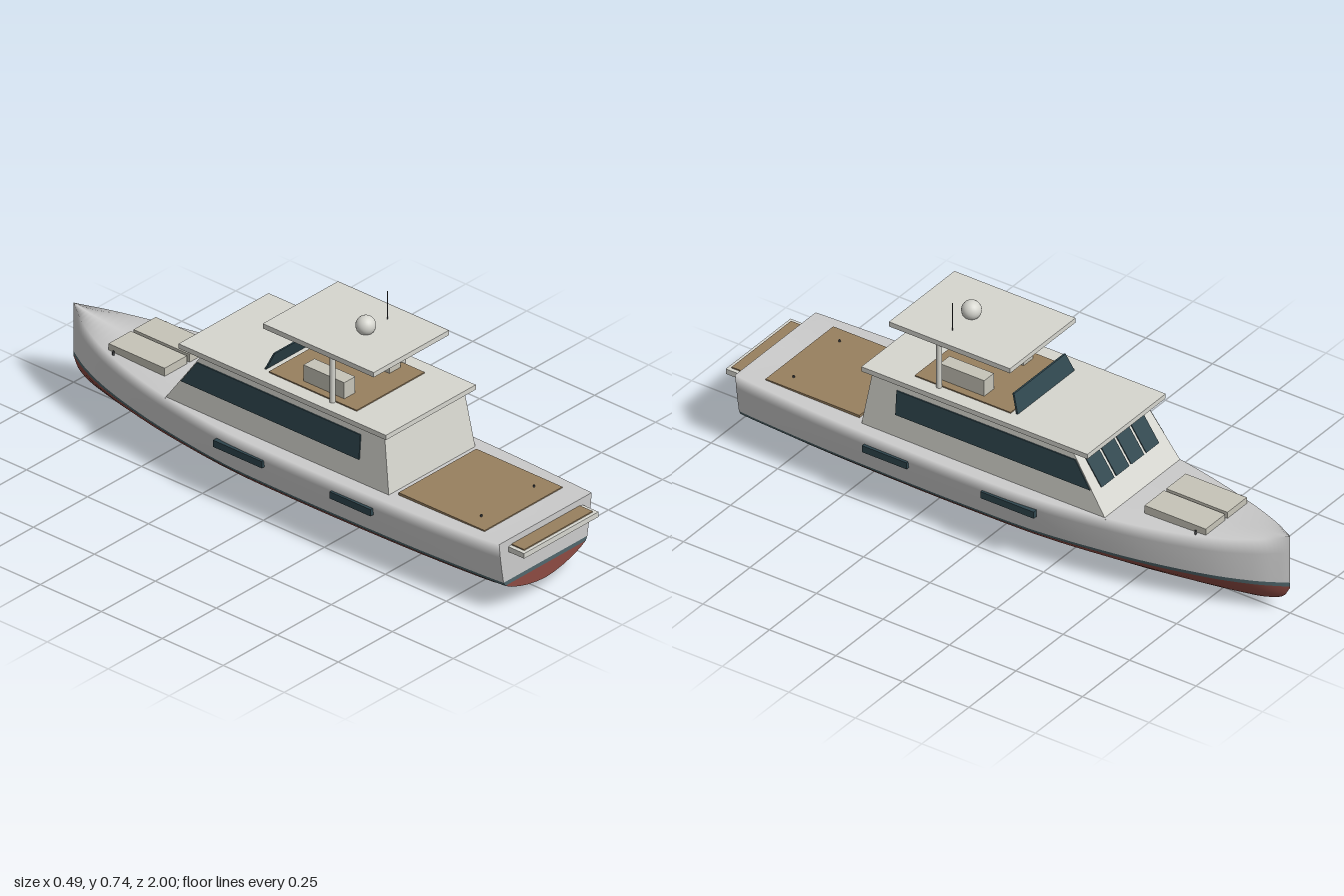
import * as THREE from 'three';

const mat = (color, extra = {}) => new THREE.MeshStandardMaterial({ color, ...extra });
const lerp = THREE.MathUtils.lerp;

// Smooth surface from a grid of points, rows[i][j] = [x, y, z]
function gridGeometry(rows) {
  const n = rows[0].length, index = [];
  for (let i = 0; i < rows.length - 1; i++) {
    for (let j = 0; j < n - 1; j++) {
      const a = i * n + j, b = a + n;
      index.push(a, b, a + 1, b, b + 1, a + 1);
    }
  }
  const g = new THREE.BufferGeometry();
  g.setAttribute('position', new THREE.Float32BufferAttribute(rows.flat(2), 3));
  g.setIndex(index);
  g.computeVertexNormals();
  return g;
}

// Box whose corners (each -1 or 1) are moved by a rule
function shapedBox(rule) {
  const g = new THREE.BoxGeometry(2, 2, 2), p = g.attributes.position;
  for (let i = 0; i < p.count; i++) p.setXYZ(i, ...rule(p.getX(i), p.getY(i), p.getZ(i)));
  g.computeVertexNormals();
  return g;
}

export function createModel() {
  const boat = new THREE.Group();
  boat.name = 'motorYacht';
  const grey = mat(0xcccccc), white = mat(0xd6d6cf), glass = mat(0x2f464e), teak = mat(0x98805f);
  const cushion = mat(0xc6c4b8), metal = mat(0x444648), bottomRed = mat(0x8c4a42), stripe = mat(0x51676c);

  const add = (name, geometry, material, x = 0, y = 0, z = 0) => {
    const m = new THREE.Mesh(geometry, material);
    m.name = name;
    m.position.set(x, y, z);
    boat.add(m);
    return m;
  };
  // Box given by its limits
  const box = (name, material, x0, x1, y0, y1, z0, z1) =>
    add(name, new THREE.BoxGeometry(x1 - x0, y1 - y0, z1 - z0), material,
      (x0 + x1) / 2, (y0 + y1) / 2, (z0 + z1) / 2);

  // Hull stations, stern to bow: z, half breadth, sheer height, keel height
  const stations = [
    [0.935, 0.214, 0.255, 0.047], [0.84, 0.222, 0.252, 0.02], [0.6, 0.236, 0.248, 0.008],
    [0.3, 0.243, 0.246, 0.001], [0.05, 0.244, 0.245, 0], [-0.2, 0.236, 0.245, 0],
    [-0.45, 0.2, 0.246, 0.002], [-0.62, 0.163, 0.248, 0.007], [-0.78, 0.115, 0.254, 0.015],
    [-0.9, 0.063, 0.265, 0.026], [-0.97, 0.021, 0.275, 0.05], [-1, 0.0005, 0.281, 0.092],
  ];
  const form = new THREE.CatmullRomCurve3(stations.map(s => new THREE.Vector3(s[1], s[2], s[0])), false, 'catmullrom');
  const keel = new THREE.CatmullRomCurve3(stations.map(s => new THREE.Vector3(0, s[3], s[0])), false, 'catmullrom');

  // Half sections of the three paint bands, from low to high
  const W = 0.097, S = 0.111;
  const bands = {
    hullBottom: (b, s, k) => [[0, 0], [0.21, 0.08], [0.4, 0.23], [0.56, 0.42], [0.74, 0.7], [0.87, 1]]
      .map(([u, v]) => [u * b, lerp(k, W, v)]),
    bootStripe: b => [[0.87 * b, W], [0.905 * b, S]],
    topsidesAndDeck: (b, s) => [[0.905, 0], [0.94, 0.3], [0.975, 0.65], [1, 1]]
      .map(([u, v]) => [u * b, lerp(S, s, v)]),
  };
  const bandMaterial = { hullBottom: bottomRed, bootStripe: stripe, topsidesAndDeck: grey };
  const steps = 55;
  for (const [name, section] of Object.entries(bands)) {
    const left = [], right = [], deckRows = [];
    for (let i = 0; i <= steps; i++) {
      const f = form.getPoint(i / steps), k = keel.getPoint(i / steps).y;
      const half = section(f.x, f.y, k);
      const port = half.map(([x, y]) => [x, y, f.z]);
      const starboard = half.map(([x, y]) => [-x, y, f.z]).reverse();
      left.push(port);
      right.push(starboard);
      deckRows.push([...port, [0, f.y, f.z], ...starboard]);
    }
    if (name === 'topsidesAndDeck') {
      // one skin over both sides and the deck
      add(name, gridGeometry(deckRows.map(r => r.slice().reverse()).reverse()), grey);
    } else if (name === 'hullBottom') {
      add(name, gridGeometry(left.map((r, i) => [...right[i], ...r.slice(1)])), bottomRed);
    } else {
      add(name + 'Left', gridGeometry(left), stripe);
      add(name + 'Right', gridGeometry(right), stripe);
    }
    // transom strip of the same colour
    const transom = left[0].map(([x, y, z]) => [[x, y, z], [-x, y, z]]);
    add(name + 'Transom', gridGeometry(transom), bandMaterial[name]);
  }
  // Every hull skin is an open surface
  boat.children.forEach(m => { m.material.side = THREE.DoubleSide; });

  // Cabin with leaning walls and raked front
  const rise = y => (y - 0.245) / 0.2;
  const wallX = y => lerp(0.2, 0.184, rise(y));
  const frontZ = y => lerp(-0.445, -0.305, rise(y));
  const backZ = y => lerp(0.47, 0.438, rise(y));
  add('cabin', shapedBox((sx, sy, sz) => {
    const y = sy < 0 ? 0.24 : 0.448;
    return [sx * wallX(y), y, sz < 0 ? frontZ(y) : backZ(y)];
  }), white);
  box('cabinRoof', white, -0.208, 0.208, 0.443, 0.46, -0.385, 0.465);

  // Cabin windows
  for (const side of [-1, 1]) {
    add('sideWindow', shapedBox((sx, sy, sz) => {
      const y = sy < 0 ? 0.323 : 0.408;
      return [side * wallX(y) + sx * 0.004, y, sz < 0 ? frontZ(y) + 0.004 : 0.345];
    }), glass);
  }
  for (let i = 0; i < 4; i++) {
    const cx = (i - 1.5) * 0.079;
    add('frontWindow', shapedBox((sx, sy, sz) => {
      const y = sy < 0 ? 0.315 : 0.413;
      return [cx + sx * 0.034, y, frontZ(y) + sz * 0.004];
    }), glass);
  }

  // Flybridge
  box('flybridgeFloor', teak, -0.157, 0.157, 0.459, 0.464, -0.06, 0.3);
  add('windscreen', shapedBox((sx, sy, sz) => sy < 0
    ? [sx * 0.151, 0.462, -0.08 + sz * 0.003]
    : [sx * 0.137, 0.521, -0.056 + sz * 0.003]), glass);
  box('hardtop', white, -0.174, 0.174, 0.62, 0.637, -0.07, 0.385);
  add('radarDome', new THREE.SphereGeometry(0.032, 24, 16), white, 0, 0.659, 0.198);
  add('antenna', new THREE.CylinderGeometry(0.0015, 0.0015, 0.1, 6), metal, 0.1, 0.686, 0.198);

  // Swim platform and aft deck
  box('swimPlatform', white, -0.172, 0.172, 0.212, 0.23, 0.925, 1);
  box('swimPlatformTeak', teak, -0.158, 0.158, 0.229, 0.234, 0.936, 0.988);
  box('aftDeckTeak', teak, -0.18, 0.18, 0.245, 0.256, 0.492, 0.845);

  // Paired fittings
  for (const side of [-1, 1]) {
    const pair = (name, material, x0, x1, ...rest) =>
      box(name, material, Math.min(side * x0, side * x1), Math.max(side * x0, side * x1), ...rest);
    pair('flybridgeSeat', cushion, 0.079, 0.13, 0.462, 0.521, 0.058, 0.225);
    pair('sunPad', cushion, 0.006, 0.109, 0.246, 0.275, -0.76, -0.53);
    pair('portlight', glass, 0.23, 0.246, 0.178, 0.202, 0.268, 0.435);
    pair('portlight', glass, 0.23, 0.246, 0.178, 0.202, -0.21, -0.01);
    add('hardtopPost', new THREE.CylinderGeometry(0.009, 0.009, 0.164, 16), white, side * 0.162, 0.54, 0.205);
    add('aftCleat', new THREE.CylinderGeometry(0.003, 0.004, 0.012, 8), metal, side * 0.122, 0.257, 0.78);
    add('bowCleat', new THREE.CylinderGeometry(0.003, 0.004, 0.016, 8), metal, side * 0.121, 0.257, -0.73);
  }
  return boat;
}
